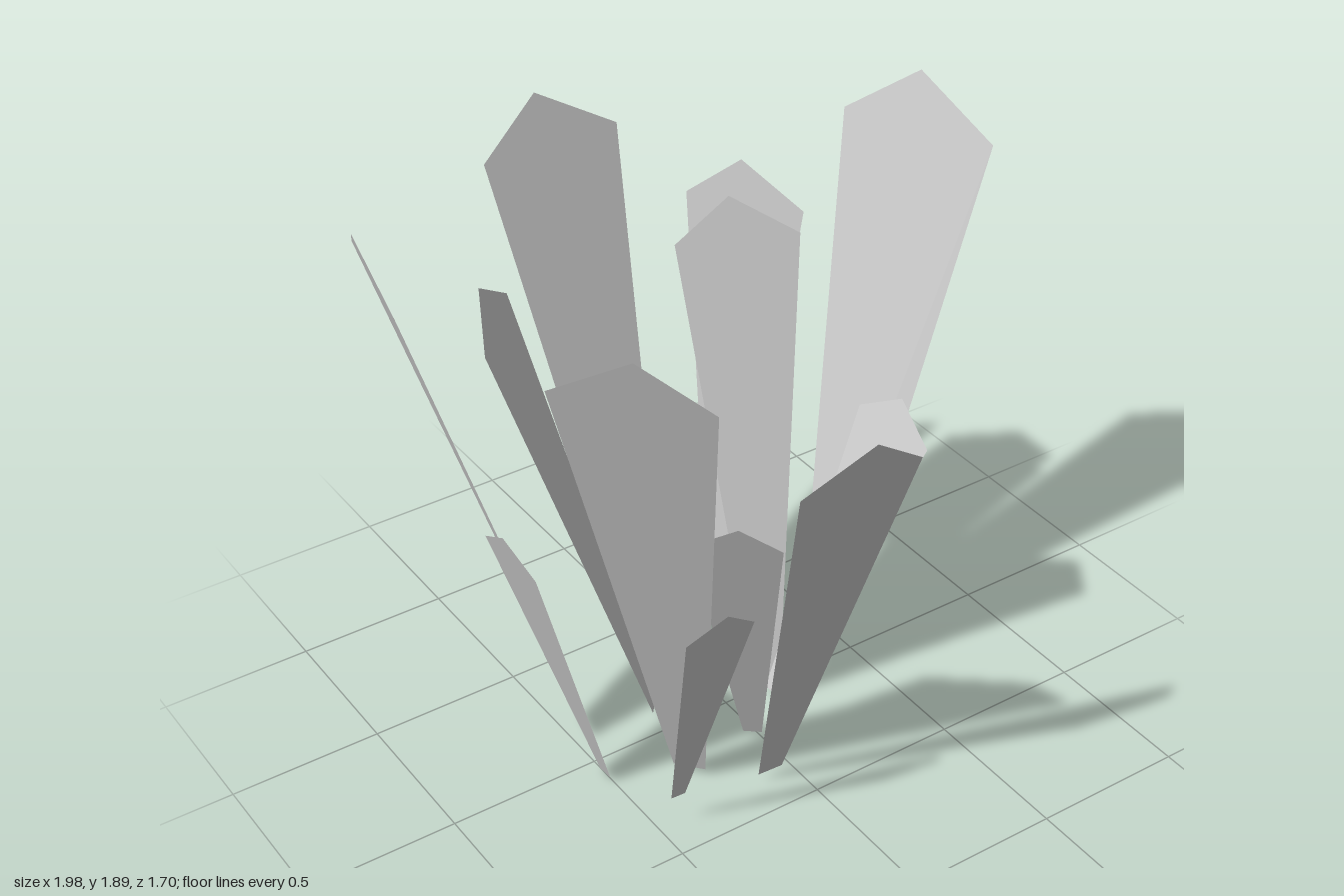
import * as THREE from 'three';

// One pointed blade of unit length, standing on the origin and facing +z
function bladeGeometry() {
  const outline = new THREE.Shape();
  outline.moveTo(-0.027, 0);
  outline.lineTo(0.027, 0);
  outline.lineTo(0.125, 0.9135);
  outline.lineTo(0.012, 1); // tip sits slightly off centre
  outline.lineTo(-0.125, 0.9135);
  outline.closePath();
  return new THREE.ShapeGeometry(outline);
}

export function createModel() {
  const group = new THREE.Group();
  group.name = 'bladeCluster';
  const geometry = bladeGeometry();
  const material = new THREE.MeshStandardMaterial({ color: 0xcccccc, side: THREE.DoubleSide });

  // name, foot x y z, yaw of the outward face, outward lean, sideways roll, length
  const blades = [
    ['backBlade', -0.085, 0.05, -0.275, 3.16, 0.308, 0, 1.9],
    ['backLeftOuterBlade', 0.265, 0.03, -0.418, 2.184, 0.168, -0.006, 1.565],
    ['leftTallBlade', 0.366, 0.005, -0.022, 2.088, 0.302, 0.038, 1.975],
    ['backLeftInnerBlade', 0.171, 0.03, -0.011, 2.71, 0.331, -0.014, 1.58],
    ['leftShortBlade', 0.145, 0.015, 0.053, 1.865, 0.37, 0.182, 1.1],
    ['frontBlade', -0.087, 0.03, 0.37, -0.053, 0.308, 0, 1.575],
    ['frontInnerShortBlade', -0.019, 0.015, 0.177, -0.719, 0.322, 0.019, 1.105],
    ['frontRightTallBlade', -0.283, 0.027, 0.213, -0.867, 0.28, 0.004, 1.89],
    ['frontRightShortBlade', -0.441, 0.12, 0.39, -0.05, 0.29, -0.01, 0.89],
    ['rightShortBlade', -0.508, 0.015, 0.078, -1.546, 0.29, 0.012, 1.09],
    ['rightTallBlade', -0.43, 0.003, -0.157, -1.797, 0.303, 0.048, 1.975],
    ['backRightBlade', -0.213, 0.027, -0.094, -2.238, 0.32, 0.057, 1.575],
  ];

  for (const [name, x, y, z, yaw, lean, roll, length] of blades) {
    const blade = new THREE.Mesh(geometry, material);
    blade.name = name;
    blade.position.set(x, y, z);
    blade.rotation.set(lean, yaw, roll, 'YXZ');
    blade.scale.setScalar(length);
    group.add(blade);
  }
  return group;
}
